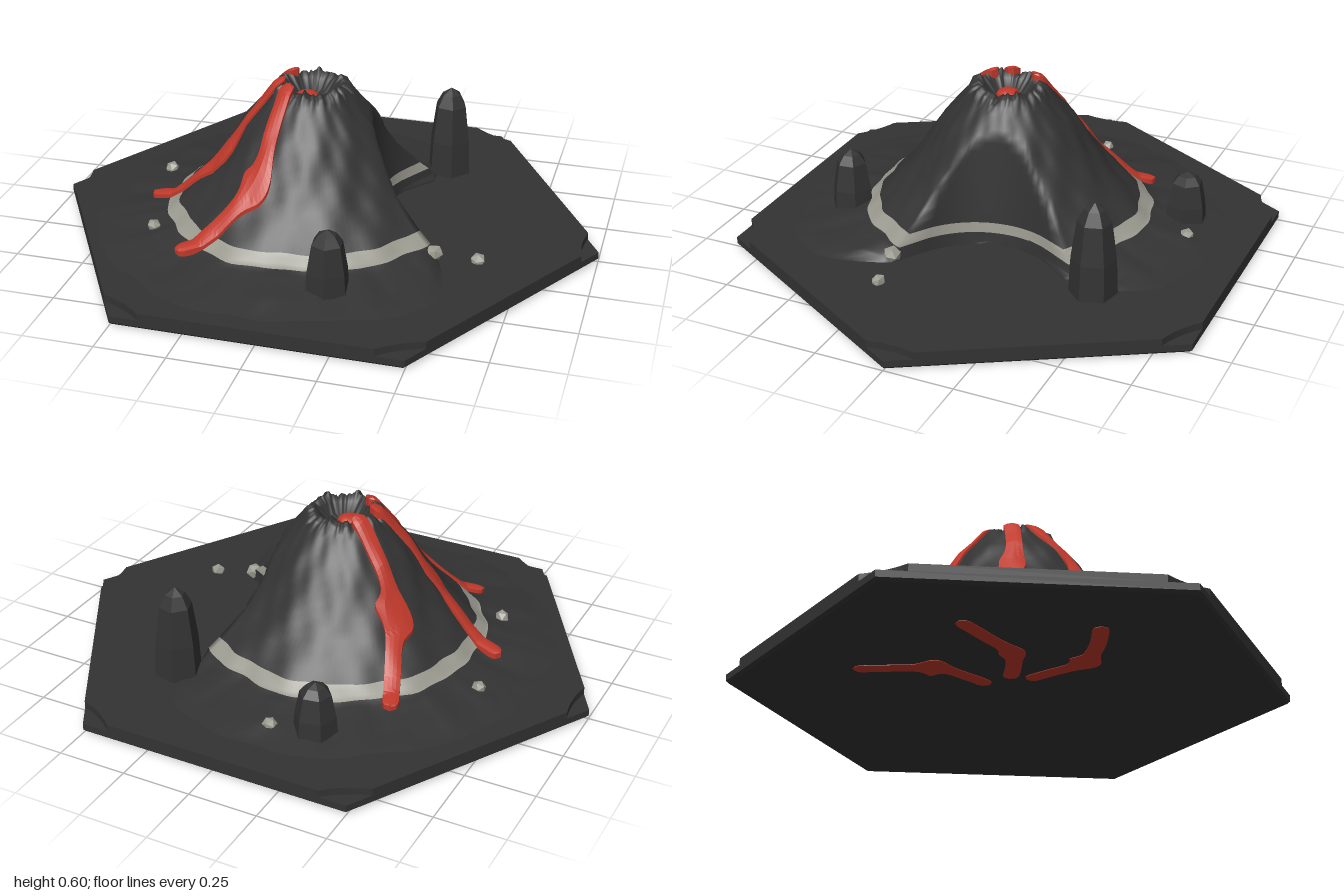
import * as THREE from 'three';

const dark = new THREE.MeshStandardMaterial({ color: 0x333333 });
dark.name = 'basalt';
const red = new THREE.MeshStandardMaterial({ color: 0xc0392b, side: THREE.DoubleSide });
red.name = 'lava';
const grey = new THREE.MeshStandardMaterial({ color: 0x9a9a90 });
grey.name = 'ash';

const CX = -0.04, CZ = 0.03; // mountain axis
const BX = 0.52, BZ = -0.09; // centre of the round hollow in the flank
const BASE = 0.06;

// Flank profile from foot to rim: [radius, height]
const PROFILE = [[0.8, 0.055], [0.69, 0.075], [0.6, 0.09], [0.52, 0.108], [0.475, 0.145],
  [0.37, 0.25], [0.3, 0.345], [0.24, 0.44], [0.18, 0.51], [0.135, 0.565], [0.108, 0.58]];

const lerp = THREE.MathUtils.lerp;

function noise(a, y) {
  return 0.45 * Math.sin(3 * a + 1 + 4 * y) + 0.35 * Math.sin(7 * a + 2 - 9 * y)
    + 0.3 * Math.sin(13 * a + 25 * y) + 0.2 * Math.sin(23 * a - 31 * y);
}

// Radius of the flank at a given angle and height, with the hollow cut away
function flankRadius(r, y, a) {
  const dx = BX - CX, dz = BZ - CZ;
  const along = dx * Math.cos(a) + dz * Math.sin(a);
  const off = Math.abs(dx * Math.sin(a) - dz * Math.cos(a));
  const turn = Math.acos(along / Math.hypot(dx, dz));
  if (r > 0.52) r = lerp(0.52, r, THREE.MathUtils.smoothstep(turn, 0.5, 1.0));
  r *= 1 + 0.03 * noise(a, y);
  const R = 0.31 + 0.12 * (y - BASE);
  if (along > 0 && off < R) r = Math.min(r, along - Math.sqrt(R * R - off * off));
  return r;
}

// Ground height at a point
function height(x, z) {
  const a = Math.atan2(z - CZ, x - CX), r = Math.hypot(x - CX, z - CZ);
  let [pr, py] = [flankRadius(...PROFILE[0], a), PROFILE[0][1]];
  if (r > pr) return BASE;
  for (const [r0, y] of PROFILE.slice(1)) {
    const nr = flankRadius(r0, y, a);
    if (r >= nr) return lerp(py, y, (pr - r) / Math.max(pr - nr, 1e-5));
    pr = nr; py = y;
  }
  return py;
}

// Indexed grid of rows; wraps around the columns
function gridGeometry(rows, materialOf) {
  const n = rows[0].length / 3, index = [], g = new THREE.BufferGeometry();
  for (let i = 0; i < rows.length - 1; i++) {
    if (materialOf) g.addGroup(index.length, n * 6, materialOf(i));
    for (let j = 0; j < n; j++) {
      const a = i * n + j, b = i * n + (j + 1) % n;
      index.push(a, a + n, b, b, a + n, b + n);
    }
  }
  g.setAttribute('position', new THREE.Float32BufferAttribute(rows.flat(), 3));
  g.setIndex(index);
  g.computeVertexNormals();
  return g;
}

function faceted(g) {
  const f = g.index ? g.toNonIndexed() : g;
  f.computeVertexNormals();
  return f;
}

function add(parent, name, geometry, material) {
  const m = new THREE.Mesh(geometry, material);
  m.name = name;
  parent.add(m);
  return m;
}

// Mountain with ash band and crater
function mountainGeometry() {
  const SEG = 144, SUB = 3, rows = [];
  const ring = f => {
    const row = [];
    for (let j = 0; j < SEG; j++) {
      const a = j / SEG * Math.PI * 2, [r, y] = f(a);
      row.push(CX + r * Math.cos(a), y, CZ + r * Math.sin(a));
    }
    rows.push(row);
  };
  for (let k = 0; k < PROFILE.length; k++) {
    const steps = k === PROFILE.length - 1 ? 1 : SUB;
    for (let s = 0; s < steps; s++) {
      const [r0, y0] = PROFILE[k], [r1, y1] = PROFILE[Math.min(k + 1, PROFILE.length - 1)];
      const r = lerp(r0, r1, s / steps), y = lerp(y0, y1, s / steps);
      // jagged rim, bumpy foot
      const wobble = y > 0.56 ? 0.014 : (k > 0 && k < 3 ? 0.008 : 0);
      ring(a => [flankRadius(r, y, a), y + wobble * noise(a * 2, 1)]);
    }
  }
  ring(a => [0.088 + 0.008 * noise(a, 2), 0.56]);
  ring(a => [0.062 + 0.006 * noise(a, 3), 0.525]);
  ring(() => [0, 0.52]);
  const band = 3 * SUB;
  return gridGeometry(rows, i => (i >= band && i < band + SUB ? 1 : 0));
}

// Lava stream draped on the flank and running down through the base
function streamGeometry(path, blobAt, blobSize) {
  const curve = new THREE.CatmullRomCurve3(path.map(([x, z]) => new THREE.Vector3(x, 0, z)));
  const N = 48, across = [-1, -0.5, 0, 0.5, 1], rows = [];
  for (let i = 0; i <= N; i++) {
    const t = i / N, p = curve.getPointAt(t), d = curve.getTangentAt(t);
    const end = Math.min(1, Math.min(t, 1 - t) * 16);
    const w = (0.028 + blobSize * Math.exp(-(((t - blobAt) / 0.075) ** 2))) * Math.sqrt(1 - (1 - end) ** 2);
    const at = (s, y) => {
      const x = p.x - d.z * w * s, z = p.z + d.x * w * s;
      return [x, y ?? height(x, z) + 0.02 - 0.006 * s * s, z];
    };
    rows.push([...at(-1, -0.002), ...across.flatMap(s => at(s)), ...at(1, -0.002)]);
  }
  return faceted(gridGeometry(rows));
}

// Hexagonal slab with its corners scooped away
function upperSlabGeometry() {
  const shape = new THREE.Shape();
  const corner = k => new THREE.Vector2(Math.cos(k * Math.PI / 3), Math.sin(k * Math.PI / 3));
  for (let k = 0; k < 6; k++) {
    const c = corner(k), p = c.clone().lerp(corner(k + 5), 0.1), q = c.clone().lerp(corner(k + 1), 0.1);
    const m = c.clone().multiplyScalar(0.93);
    if (k) shape.lineTo(p.x, p.y); else shape.moveTo(p.x, p.y);
    shape.quadraticCurveTo(m.x, m.y, q.x, q.y);
  }
  shape.closePath();
  return new THREE.ExtrudeGeometry(shape, { depth: 0.027, bevelEnabled: false, curveSegments: 8 })
    .rotateX(-Math.PI / 2).translate(0, 0.033, 0);
}

const lathe = (pts, seg) => faceted(new THREE.LatheGeometry(pts.map(([x, y]) => new THREE.Vector2(x, y)), seg));

export function createModel() {
  const model = new THREE.Group();
  model.name = 'volcanoTile';

  // Base tile
  const lower = lathe([[0, 0], [0.988, 0], [1, 0.01], [1, 0.034], [0, 0.034]], 6);
  add(model, 'lowerSlab', lower, dark).rotation.y = Math.PI / 6;
  add(model, 'upperSlab', upperSlabGeometry(), dark);

  // Mountain
  add(model, 'mountain', mountainGeometry(), [dark, grey]);

  // Lava
  const streams = [
    [[[-0.11, -0.035], [-0.2, -0.07], [-0.31, -0.13], [-0.37, -0.25], [-0.43, -0.4]], 0.47, 0.04],
    [[[-0.13, 0.05], [-0.21, 0.1], [-0.33, 0.15], [-0.46, 0.13], [-0.63, 0.1]], 0.42, 0.018],
    [[[-0.1, 0.1], [-0.12, 0.2], [-0.15, 0.33], [-0.25, 0.42], [-0.4, 0.5]], 0.46, 0.03]];
  for (const s of streams) add(model, 'lavaStream', streamGeometry(...s), red);
  const pool = add(model, 'lavaPool', new THREE.SphereGeometry(0.045, 9, 6), red);
  pool.position.set(-0.055, 0.525, 0.04);
  pool.scale.y = 0.55;

  // Standing rocks: x, z, base radius, top height, turn
  const rocks = [[0.365, -0.465, 0.085, 0.4, 0.3], [-0.245, -0.585, 0.08, 0.26, 0.7], [0.165, 0.57, 0.08, 0.3, 0.1]];
  for (const [x, z, r, top, turn] of rocks) {
    const h = top - 0.05;
    const g = lathe([[r, 0], [r * 0.92, h * 0.4], [r * 0.7, h * 0.8], [r * 0.42, h * 0.93], [0, h]], 6);
    const rock = add(model, 'standingRock', g, dark);
    rock.position.set(x, 0.05, z);
    rock.rotation.y = turn;
  }

  // Pebbles
  const pebbles = [[-0.1, -0.64, 0.027], [-0.64, -0.125, 0.027], [-0.535, 0.345, 0.027], [0.46, 0.25, 0.034], [0.61, 0.225, 0.028]];
  pebbles.forEach(([x, z, r], i) => {
    const p = add(model, 'pebble', new THREE.IcosahedronGeometry(r, 0), grey);
    p.position.set(x, height(x, z) + 0.006, z);
    p.rotation.set(i, i * 2, 0);
    p.scale.y = 0.85;
  });

  return model;
}
